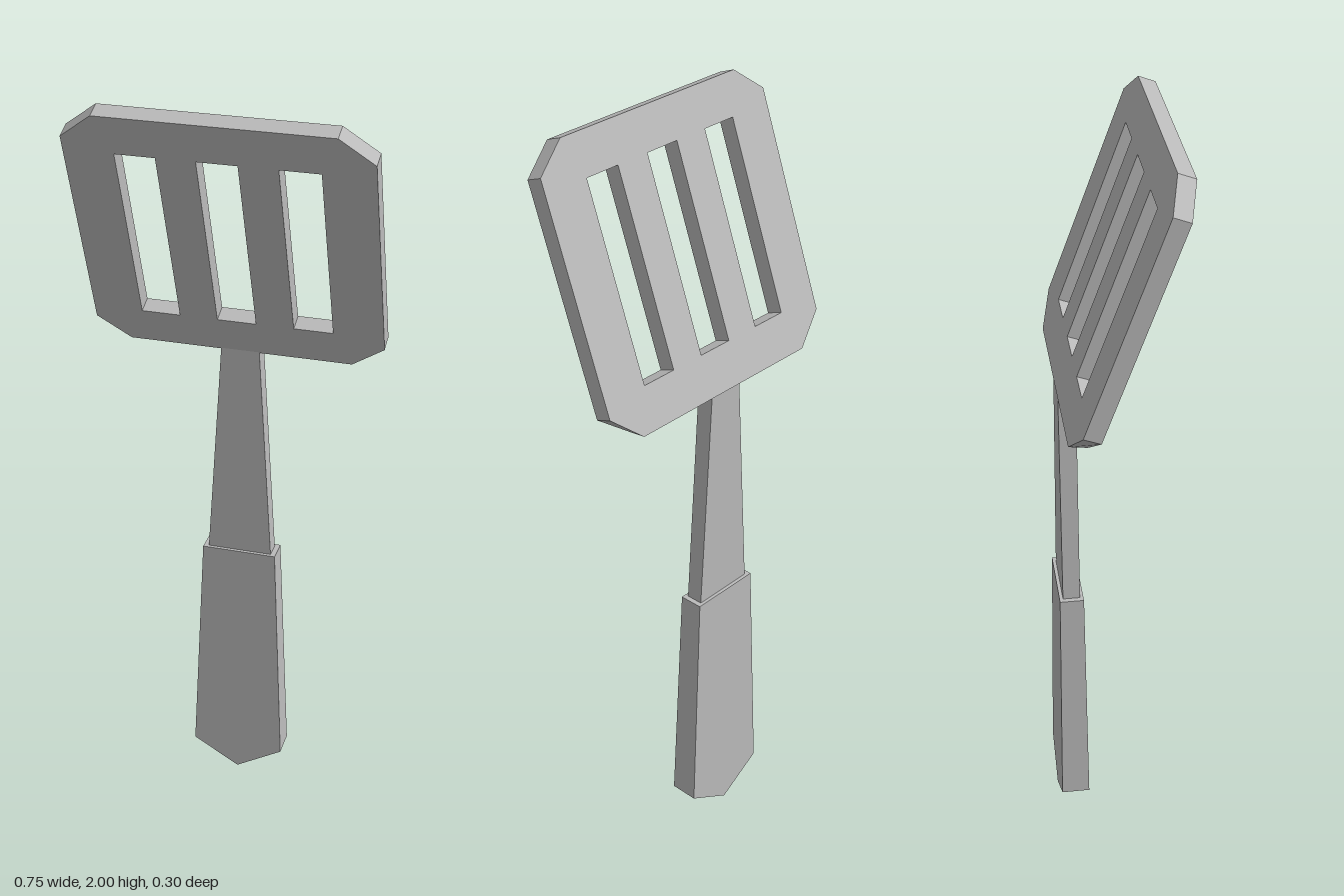
import * as THREE from 'three';

const polygon = (Type, points) => new Type(points.map(([x, y]) => new THREE.Vector2(x, y)));

// Extrudes a front outline one unit deep, then places each point by rule(x, y, t), t = 0 back, 1 front.
function slab(name, shape, material, rule) {
  const geometry = new THREE.ExtrudeGeometry(shape, { depth: 1, bevelEnabled: false });
  const p = geometry.attributes.position;
  for (let i = 0; i < p.count; i++) p.setXYZ(i, ...rule(p.getX(i), p.getY(i), p.getZ(i)));
  geometry.computeVertexNormals();
  const mesh = new THREE.Mesh(geometry, material);
  mesh.name = name;
  return mesh;
}

export function createModel() {
  const group = new THREE.Group();
  group.name = 'spatula';
  const grey = new THREE.MeshStandardMaterial({ color: 0xbbbbbb, flatShading: true });
  grey.name = 'grey';
  const axisZ = -0.1125;

  // Grip: pointed foot, tapering upward in width and depth
  const grip = polygon(THREE.Shape, [
    [0, 0], [0.127, 0.075], [0.1, 0.725], [-0.1, 0.725], [-0.127, 0.075],
  ]);
  group.add(slab('grip', grip, grey, (x, y, t) => {
    const depth = THREE.MathUtils.lerp(0.077, 0.063, y / 0.725);
    return [x, y, axisZ + (t - 0.5) * depth];
  }));

  // Neck: thin tapered bar between grip and blade
  const neck = polygon(THREE.Shape, [[0.088, 0.7], [0.05, 1.325], [-0.05, 1.325], [-0.088, 0.7]]);
  group.add(slab('neck', neck, grey, (x, y, t) => [x, y, axisZ + (t - 0.5) * 0.045]));

  // Blade: slotted plate with cut corners, leaning forward
  const blade = polygon(THREE.Shape, [
    [0.29, 1.32], [0.375, 1.381], [0.375, 1.921], [0.29, 1.984],
    [-0.29, 1.984], [-0.375, 1.921], [-0.375, 1.381], [-0.29, 1.32],
  ]);
  for (const x of [-0.198, 0, 0.197]) {
    blade.holes.push(polygon(THREE.Path, [
      [x - 0.05, 1.415], [x - 0.05, 1.885], [x + 0.05, 1.885], [x + 0.05, 1.415],
    ]));
  }
  const lean = Math.tan(THREE.MathUtils.degToRad(20));
  group.add(slab('blade', blade, grey, (x, y, t) => {
    // The back is offset squarely, except along the level bottom edge
    const rise = (1 - t) * (y < 1.33 ? 0.006 : 0.016);
    const worldY = y + rise;
    return [x, worldY, 0.151 + (worldY - 1.984) * lean - (1 - t) * 0.0485];
  }));

  return group;
}
